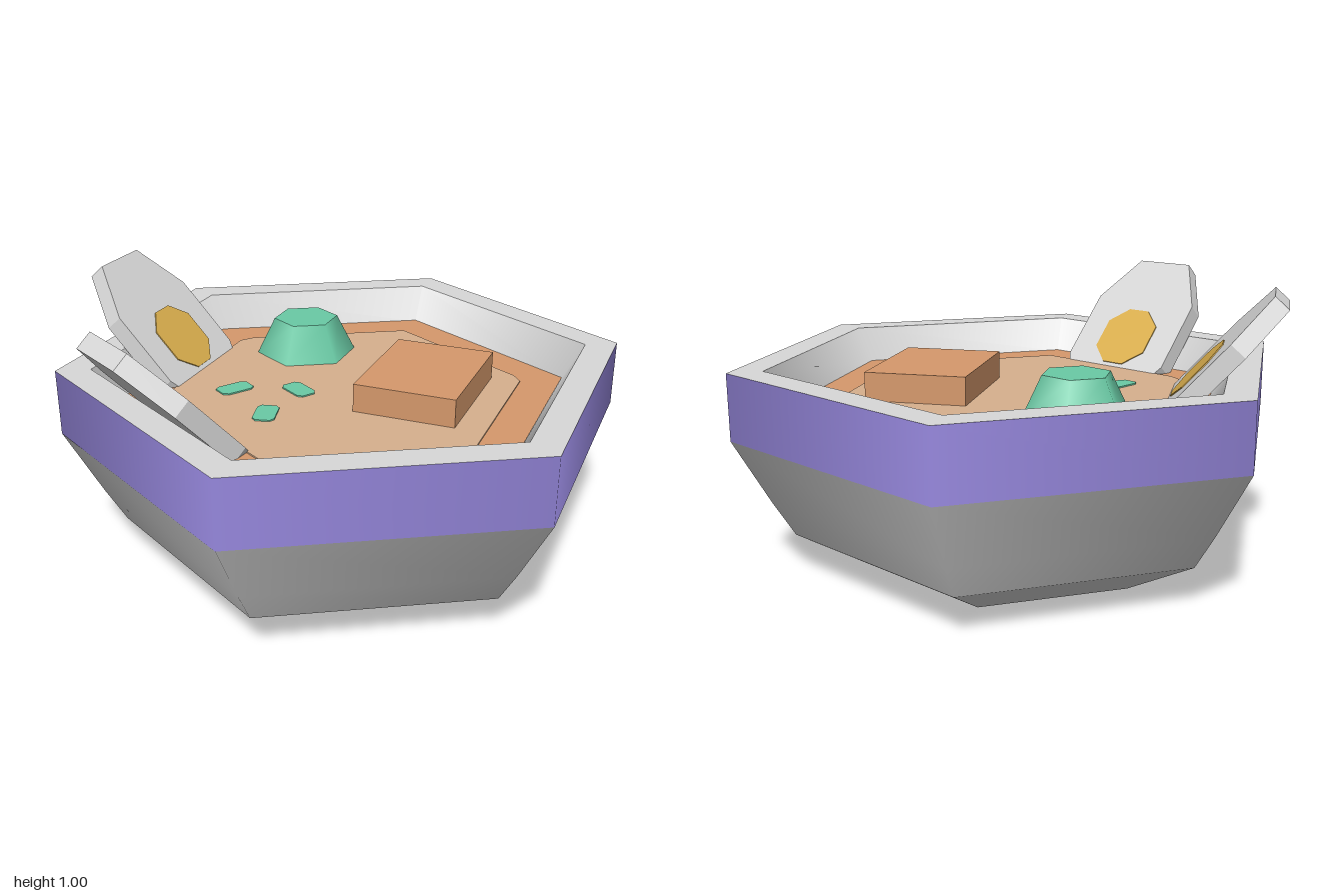
import * as THREE from 'three';

const mat = (name, color, extra = {}) => {
  const m = new THREE.MeshStandardMaterial({ color, ...extra });
  m.name = name;
  return m;
};

export function createModel() {
  const china = mat('pale china', 0xd8d8d8);
  const purple = mat('purple glaze', 0x9788de);
  const brown = mat('broth brown', 0xd6996c);
  const tan = mat('light broth', 0xd7b08e);
  const green = mat('green', 0x6acaa5);
  const yellow = mat('yolk yellow', 0xdcb04e);

  const model = new THREE.Group();
  model.name = 'soupBowl';
  // Everything is arranged around the axis of the hexagonal bowl
  const bowl = new THREE.Group();
  bowl.name = 'bowl';
  bowl.position.x = 0.04;
  model.add(bowl);

  const add = (name, geometry, material, parent = bowl) => {
    const mesh = new THREE.Mesh(geometry, material);
    mesh.name = name;
    parent.add(mesh);
    return mesh;
  };
  // Six-sided ring from [radius, height] points
  const ring = (name, points, material) =>
    add(name, new THREE.LatheGeometry(points.map(p => new THREE.Vector2(...p)), 6), material);
  // Straight-sided plate from an outline
  const plate = (points, depth) =>
    new THREE.ExtrudeGeometry(new THREE.Shape(points.map(p => new THREE.Vector2(...p))),
      { depth, bevelEnabled: false });
  // Octagon outline: half width, half height, half lengths of the flats, centre height
  const octagon = (w, h, fx, fy, cy) => [
    [fx, h], [-fx, h], [-w, fy], [-w, -fy], [-fx, -h], [fx, -h], [w, -fy], [w, fy],
  ].map(([x, y]) => [x, y + cy]);

  // Bowl shell
  ring('bowlBase', [[0, 0], [0.53, 0]], china);
  ring('bowlFoot', [[0.53, 0], [0.8, 0.15]], china);
  ring('bowlSide', [[0.8, 0.15], [0.872, 0.27], [1, 0.505]], china);
  ring('colourBand', [[1, 0.505], [1, 0.74]], purple);
  ring('rim', [[1, 0.74], [0.88, 0.74]], china);
  ring('innerWall', [[0.88, 0.74], [0.8, 0.61]], china);

  // Broth and its lighter middle
  const broth = 0.615;
  ring('broth', [[0.802, broth], [0, broth]], brown);
  const middle = plate([
    [0, 0.65], [-0.53, 0.344], [-0.563, 0.3], [-0.563, -0.3], [-0.53, -0.344],
    [0, -0.65], [0.53, -0.344], [0.563, -0.3], [0.563, 0.3], [0.53, 0.344],
  ], 0.005).rotateX(-Math.PI / 2);
  add('brothMiddle', middle, tan).position.y = broth;

  // Block of meat or tofu
  add('block', new THREE.BoxGeometry(0.36, 0.11, 0.47), brown).position.set(0.28, 0.665, -0.055);

  // Green mound
  add('greenMound', new THREE.CylinderGeometry(0.12, 0.19, 0.14, 6), green)
    .position.set(-0.28, 0.685, -0.3);

  // Chopped green pieces: x, z, angle
  [[-0.36, 0.155, 57], [-0.145, 0.08, -32], [-0.165, 0.31, -76]].forEach(([x, z, deg]) => {
    const chip = plate([
      [0.062, 0.025], [0.045, 0.038], [-0.045, 0.038], [-0.062, 0.025],
      [-0.062, -0.025], [-0.045, -0.038], [0.045, -0.038], [0.062, -0.025],
    ], 0.006).rotateZ(THREE.MathUtils.degToRad(deg)).rotateX(-Math.PI / 2);
    add('greenPiece', chip, green).position.set(x, broth + 0.004, z);
  });

  // Egg slices leaning outwards against the rim
  [-90, -30].forEach(deg => {
    const turn = new THREE.Group();
    turn.name = 'eggSlice';
    turn.rotation.y = THREE.MathUtils.degToRad(deg);
    const lean = new THREE.Group();
    lean.name = 'leaningSlice';
    lean.position.set(0, 1, 0.9);
    lean.rotation.x = THREE.MathUtils.degToRad(42.2);
    turn.add(lean);
    bowl.add(turn);
    add('eggWhite', plate(octagon(0.23, 0.338, 0.118, 0.143, -0.338), 0.066), china, lean);
    add('eggYolk', plate(octagon(0.117, 0.127, 0.045, 0.062, -0.37), 0.005), yellow, lean)
      .position.z = -0.004;
  });

  return model;
}
